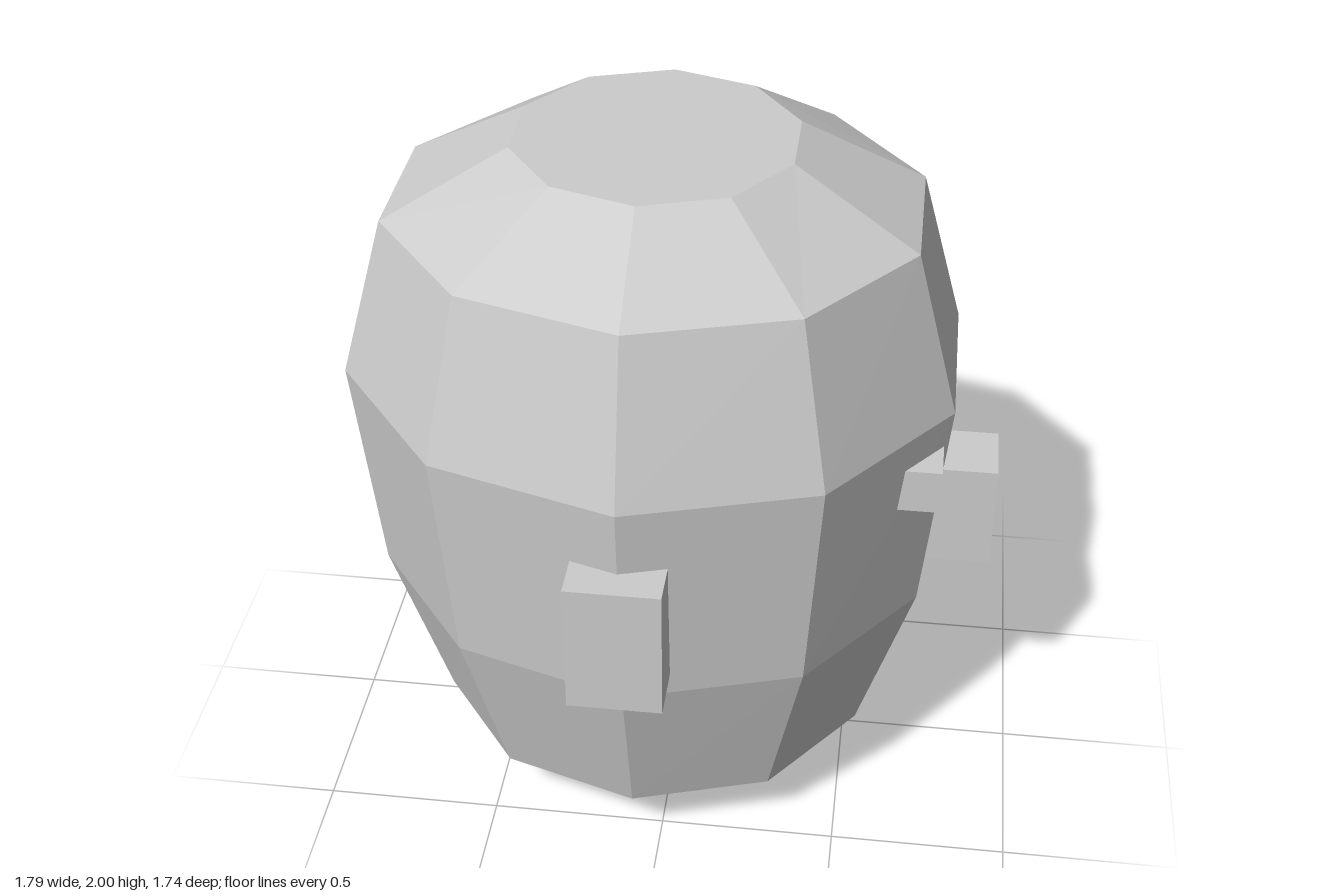
import * as THREE from 'three';

export function createModel() {
  const model = new THREE.Group();
  model.name = 'blockyHead';
  const grey = new THREE.MeshStandardMaterial({ color: 0xcccccc, flatShading: true });
  grey.name = 'plain grey';
  const centreX = -0.072;

  // Ten-sided head: each ring is [height, x radius, z radius]
  const rings = [
    [0, 0.389, 0.388], [0.195, 0.644, 0.614], [0.71, 0.804, 0.752],
    [1.36, 0.868, 0.806], [1.81, 0.74, 0.68], [2, 0.389, 0.388],
  ];
  const headGeometry = new THREE.CylinderGeometry(1, 1, 1, 10, rings.length - 1);
  const p = headGeometry.attributes.position;
  for (let i = 0; i < p.count; i++) {
    const [y, rx, rz] = rings[Math.round((p.getY(i) + 0.5) * (rings.length - 1))];
    p.setXYZ(i, centreX + p.getX(i) * rx, y, p.getZ(i) * rz - 0.003);
  }
  headGeometry.computeVertexNormals();
  const head = new THREE.Mesh(headGeometry, grey);
  head.name = 'head';
  model.add(head);

  // Box given by its lowest and highest corners
  function box(name, [x0, y0, z0], [x1, y1, z1]) {
    const mesh = new THREE.Mesh(new THREE.BoxGeometry(x1 - x0, y1 - y0, z1 - z0), grey);
    mesh.position.set((x0 + x1) / 2, (y0 + y1) / 2, (z0 + z1) / 2);
    mesh.name = name;
    model.add(mesh);
  }

  // The face points along +x
  box('nose', [0.6, 0.75, -0.097], [0.893, 1.065, 0.097]);
  box('frontEar', [-0.2, 0.78, 0.65], [0.053, 1.165, 0.87]);
  box('backEar', [-0.2, 0.78, -0.87], [0.053, 1.165, -0.65]);
  box('frontEye', [0.6, 1.132, 0.25], [0.732, 1.26, 0.385]);
  box('backEye', [0.6, 1.132, -0.385], [0.732, 1.26, -0.25]);

  return model;
}
